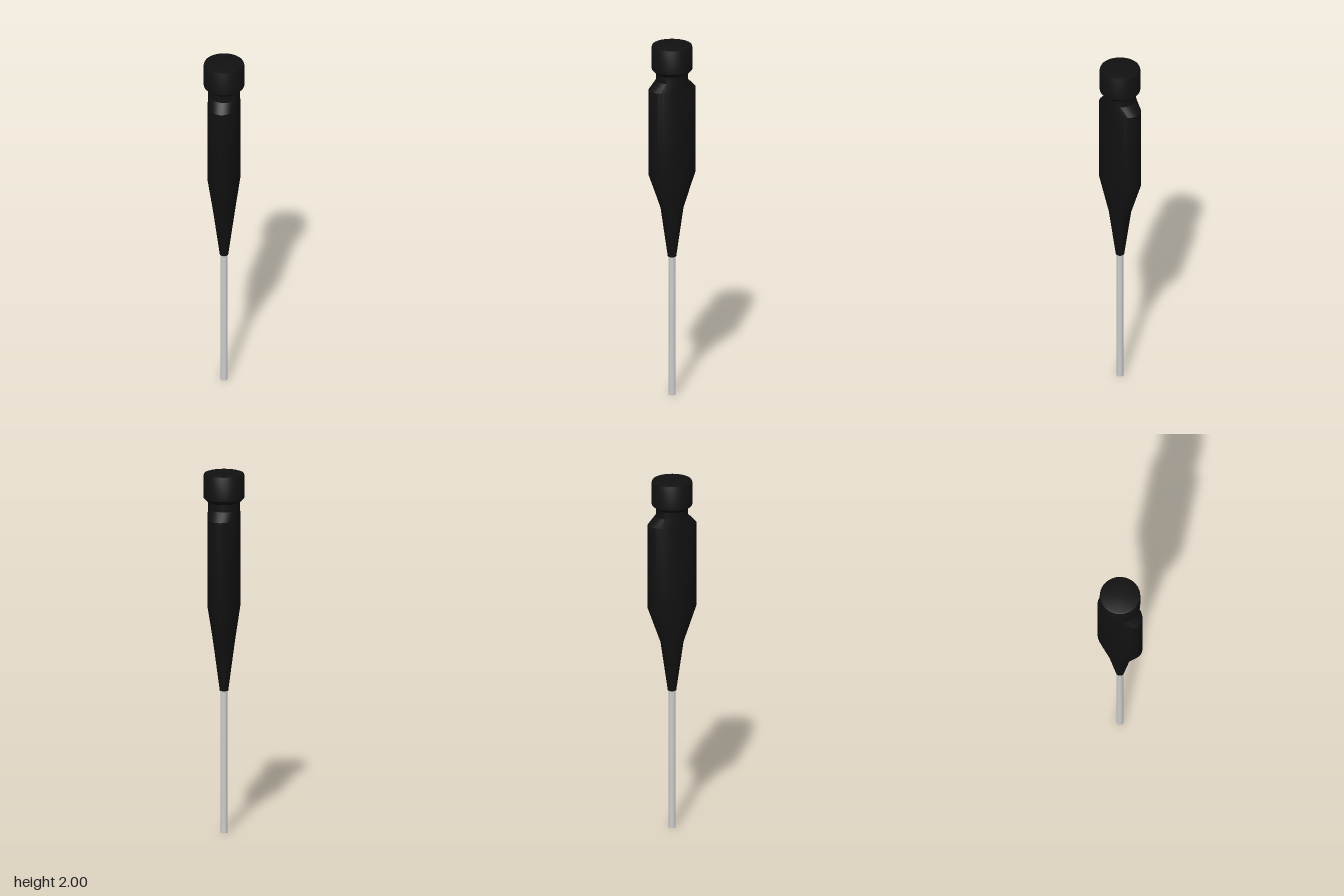
import * as THREE from 'three';
import { toCreasedNormals } from 'three/addons/utils/BufferGeometryUtils.js';

// Turned body with elliptical sections: rings of [y, x radius, z radius], bottom to top.
function turned(name, rings, sides, color) {
  const points = rings.map(([y, rx]) => new THREE.Vector2(rx, y));
  const geometry = new THREE.LatheGeometry(points, sides);
  const pos = geometry.attributes.position;
  for (let i = 0; i < pos.count; i++) {
    const [, rx, rz = rx] = rings[i % rings.length];
    if (rx > 0) pos.setZ(i, pos.getZ(i) * rz / rx);
  }
  const mesh = new THREE.Mesh(
    toCreasedNormals(geometry, Math.PI / 7),
    new THREE.MeshStandardMaterial({ color })
  );
  mesh.name = name;
  return mesh;
}

export function createModel() {
  const group = new THREE.Group();
  group.name = 'screwdriver';
  const black = 0x111111;

  // Plain round metal rod, running up into the handle
  group.add(turned('shaft', [[0, 0], [0, 0.02], [0.85, 0.02], [0.85, 0]], 24, 0xcccccc));

  // Tapered ferrule flaring into an oval grip, then a round neck
  group.add(turned('handle', [
    [0.79, 0], [0.79, 0.023], [1.07, 0.06, 0.063],
    [1.27, 0.087, 0.135], [1.75, 0.087, 0.135],
    [1.80, 0.087], [1.86, 0.087], [1.86, 0],
  ], 40, black));

  // Round end cap with a chamfered underside and softened rim
  group.add(turned('endCap', [
    [1.84, 0], [1.84, 0.087], [1.862, 0.11], [1.99, 0.11],
    [1.997, 0.107], [2, 0.098], [2, 0],
  ], 40, black));

  return group;
}
